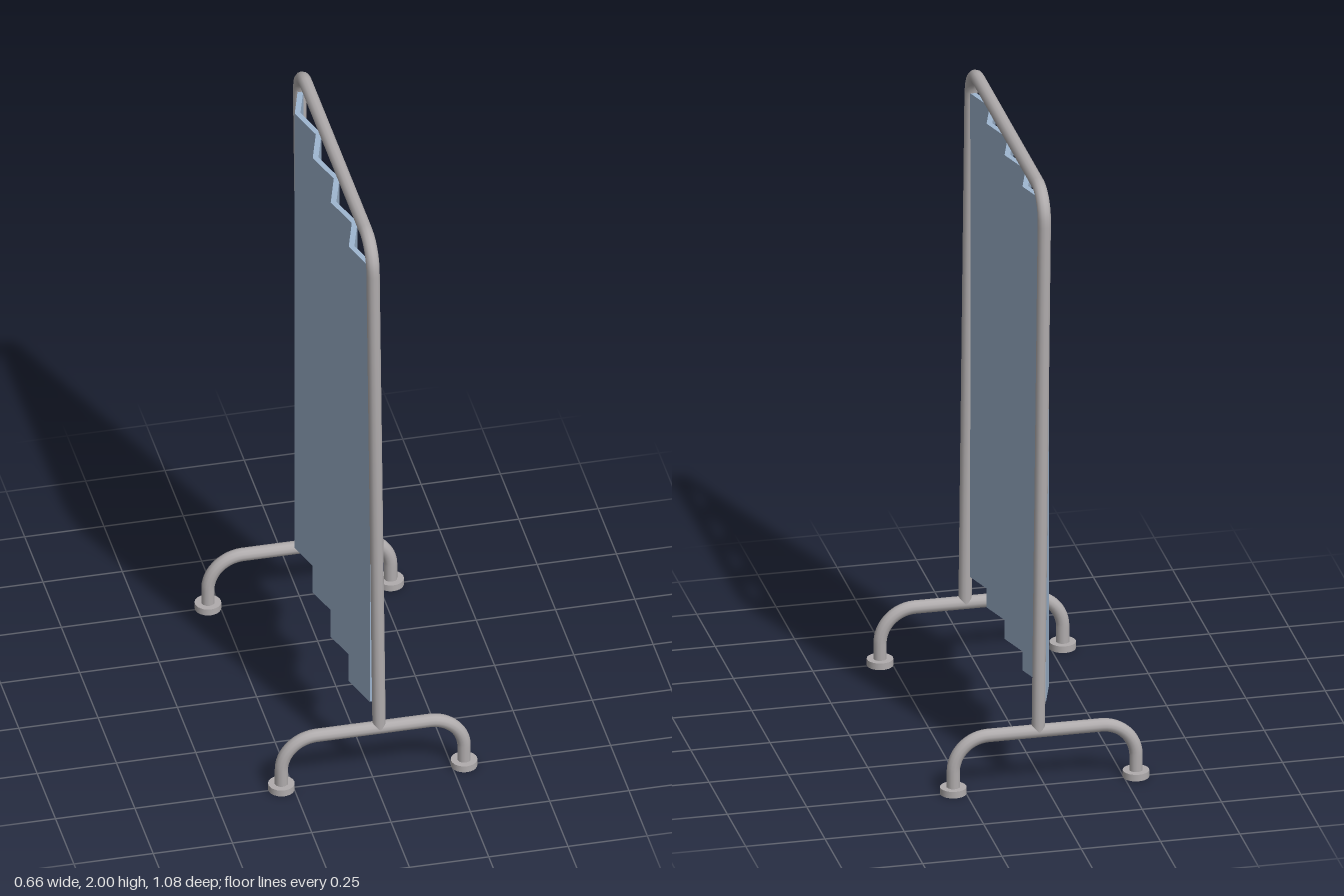
import * as THREE from 'three';

const V = (x, y, z) => new THREE.Vector3(x, y, z);
const TUBE_R = 0.021;

// Path through straight runs with rounded corners of the given radius
function roundedPath(points, radius) {
  const path = new THREE.CurvePath();
  let from = points[0];
  for (let i = 1; i < points.length - 1; i++) {
    const corner = points[i];
    const back = points[i - 1].clone().sub(corner).normalize();
    const ahead = points[i + 1].clone().sub(corner).normalize();
    const at = (dir, d) => corner.clone().addScaledVector(dir, d);
    const a = at(back, radius), b = at(ahead, radius);
    path.add(new THREE.LineCurve3(from, a));
    path.add(new THREE.CubicBezierCurve3(a, at(back, radius * 0.45), at(ahead, radius * 0.45), b));
    from = b;
  }
  path.add(new THREE.LineCurve3(from, points[points.length - 1]));
  return path;
}

export function createModel() {
  const model = new THREE.Group();
  model.name = 'foldingScreen';
  const metal = new THREE.MeshStandardMaterial({ color: 0xb0acad });
  metal.name = 'grey metal';
  const fabric = new THREE.MeshStandardMaterial({ color: 0x9fb6d0 });
  fabric.name = 'blue fabric';

  const add = (name, geometry, material) => {
    const mesh = new THREE.Mesh(geometry, material);
    mesh.name = name;
    model.add(mesh);
    return mesh;
  };

  // Upright frame: one bent tube, leaning slightly
  const top = 2 - TUBE_R;
  const framePath = roundedPath(
    [V(0.02, 0.185, 0.5), V(0, top, 0.5), V(0, top, -0.5), V(0.02, 0.185, -0.5)], 0.09);
  add('frame', new THREE.TubeGeometry(framePath, 200, TUBE_R, 12), metal);

  // Bent base tubes with a disc foot at each end
  for (const side of [1, -1]) {
    const z = side * 0.5;
    const legPath = roundedPath(
      [V(-0.288, 0.01, z), V(-0.288, 0.183, z), V(0.288, 0.183, z), V(0.288, 0.01, z)], 0.11);
    add('baseLeg', new THREE.TubeGeometry(legPath, 64, TUBE_R, 12), metal);
    for (const x of [-0.288, 0.288]) {
      add('foot', new THREE.CylinderGeometry(0.041, 0.041, 0.022, 24), metal).position.set(x, 0.011, z);
    }
  }

  // Pleated curtain: zigzag strip drawn in plan, extruded upward
  const folds = 8, halfWidth = 0.49, thickness = 0.018;
  const outer = [], inner = [];
  for (let i = 0; i <= folds; i++) {
    const x = i % 2 ? -0.045 : -0.007;
    const z = -halfWidth + (2 * halfWidth * i) / folds;
    outer.push(new THREE.Vector2(x, z));
    inner.unshift(new THREE.Vector2(x + thickness, z));
  }
  const curtain = new THREE.ExtrudeGeometry(new THREE.Shape([...outer, ...inner]),
    { depth: 1.625, bevelEnabled: false });
  curtain.rotateX(-Math.PI / 2);
  curtain.translate(0, 0.275, 0);
  add('curtain', curtain, fabric);

  return model;
}
